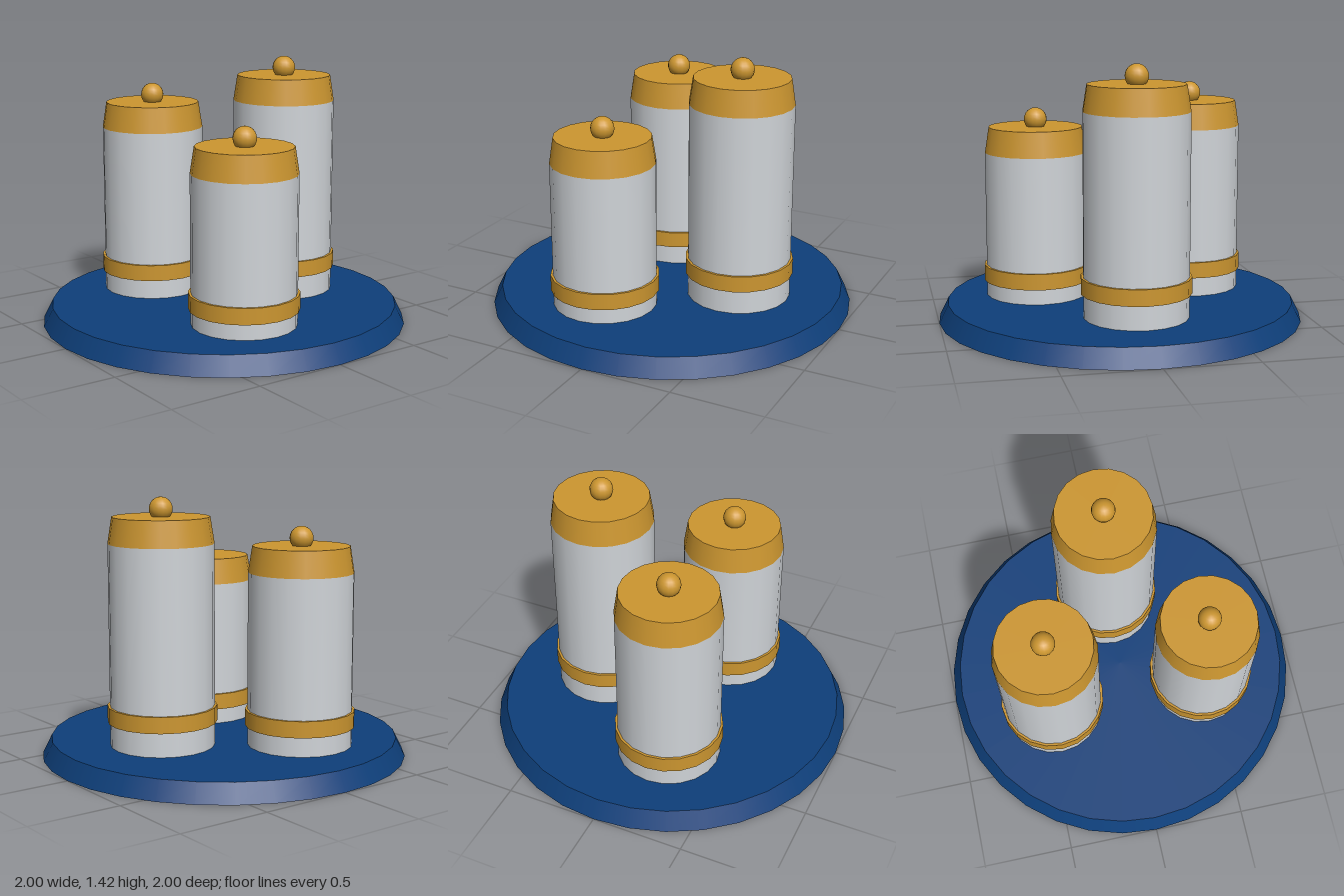
import * as THREE from 'three';

const gold = new THREE.MeshStandardMaterial({ name: 'gold', color: 0xcc9630 });
const silver = new THREE.MeshStandardMaterial({ name: 'pale grey', color: 0xd0d4d8 });
const navy = new THREE.MeshStandardMaterial({ name: 'navy blue', color: 0x0e3f7a });

const BASE_TOP = 0.1;
const RADIUS = 0.28;
const LID_HEIGHT = 0.14;

function addMesh(parent, name, geometry, material, y) {
  const mesh = new THREE.Mesh(geometry, material);
  mesh.name = name;
  mesh.position.y = y;
  parent.add(mesh);
}

// Upright cylinder whose bottom sits at the given height
function addDrum(parent, name, material, top, bottom, height, y, sides = 20) {
  const geometry = new THREE.CylinderGeometry(top, bottom, height, sides);
  addMesh(parent, name, geometry, material, y + height / 2);
}

// Canister with a trim band, tapered lid and round knob
function createCanister(name, x, z, height) {
  const canister = new THREE.Group();
  canister.name = name;
  canister.position.set(x, BASE_TOP, z);
  addDrum(canister, 'body', silver, RADIUS, RADIUS, height, 0);
  addDrum(canister, 'band', gold, 0.293, 0.293, 0.088, height * 0.16 - 0.044);
  addDrum(canister, 'lid', gold, 0.258, RADIUS, LID_HEIGHT, height);
  addMesh(canister, 'knob', new THREE.SphereGeometry(0.063, 16, 12), gold, height + LID_HEIGHT + 0.04);
  return canister;
}

export function createModel() {
  const model = new THREE.Group();
  model.name = 'canisterSet';

  // Round tray with a sloping rim
  addDrum(model, 'tray', navy, 0.95, 1, BASE_TOP, 0, 32);

  // Three canisters of different heights
  model.add(
    createCanister('backCanister', 0, -0.41, 1.08),
    createCanister('rightCanister', -0.437, 0.18, 0.927),
    createCanister('leftCanister', 0.437, 0.18, 0.8),
  );
  return model;
}
